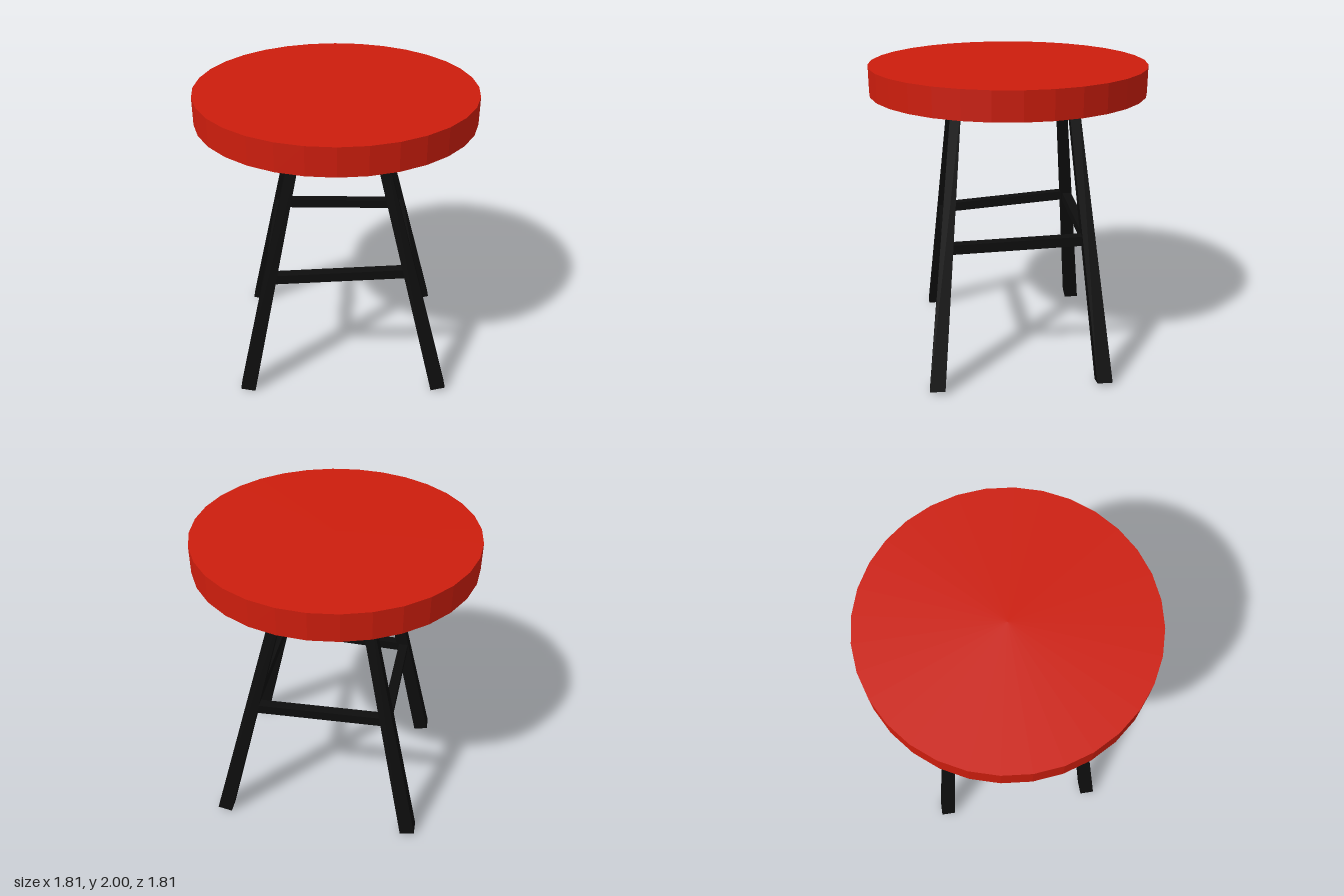
import * as THREE from 'three';

const red = new THREE.MeshStandardMaterial({ color: 0xcc1d0d, flatShading: true });
const black = new THREE.MeshStandardMaterial({ color: 0x0d0d0d, flatShading: true });

// Square bar from a to b, with its own width at each end; side is the direction of one pair of faces.
function bar(name, a, b, widthA, widthB, side, depth) {
  const length = a.distanceTo(b);
  const geometry = new THREE.CylinderGeometry(widthB * Math.SQRT1_2, widthA * Math.SQRT1_2, length, 4);
  geometry.rotateY(Math.PI / 4);
  const along = b.clone().sub(a).normalize();
  const u = side ?? new THREE.Vector3(along.y, -along.x, 0).normalize();
  const v = depth ?? u.clone().cross(along).normalize();
  geometry.applyMatrix4(new THREE.Matrix4().makeBasis(u, along, v));
  const mesh = new THREE.Mesh(geometry, black);
  mesh.position.copy(a).lerp(b, 0.5);
  mesh.name = name;
  return mesh;
}

export function createModel() {
  const model = new THREE.Group();
  model.name = 'stool';

  // Thick round seat
  const seat = new THREE.Mesh(new THREE.CylinderGeometry(0.903, 0.903, 0.18, 32), red);
  seat.position.y = 1.91;
  seat.name = 'seat';
  model.add(seat);

  // Splayed legs, wider at the floor: [name, foot x, foot z, top x, top z]
  const legs = [
    ['frontRightLeg', -0.61, 0.525, -0.235, 0.35],
    ['frontLeftLeg', 0.702, 0.525, 0.25, 0.35],
    ['backLeftLeg', 0.702, -0.565, 0.25, -0.387],
    ['backRightLeg', -0.61, -0.565, -0.235, -0.387],
  ].map(([name, fx, fz, tx, tz]) => ({
    name, foot: new THREE.Vector3(fx, 0.012, fz), top: new THREE.Vector3(tx, 1.802, tz),
  }));
  const zAxis = new THREE.Vector3(0, 0, 1);
  for (const { name, foot, top } of legs) {
    model.add(bar(name, foot, top, 0.1, 0.066, null, zAxis));
  }

  // Rails joining neighbouring legs, slightly uneven: [name, start height, end height]
  const rails = [
    ['frontRail', 0.855, 0.9],
    ['leftRail', 0.902, 0.93],
    ['backRail', 0.913, 0.924],
    ['rightRail', 0.935, 0.855],
  ];
  const onLeg = ({ foot, top }, y) => foot.clone().lerp(top, (y - foot.y) / (top.y - foot.y));
  const up = new THREE.Vector3(0, 1, 0);
  rails.forEach(([name, startY, endY], i) => {
    model.add(bar(name, onLeg(legs[i], startY), onLeg(legs[(i + 1) % 4], endY), 0.063, 0.063, up));
  });
  return model;
}
